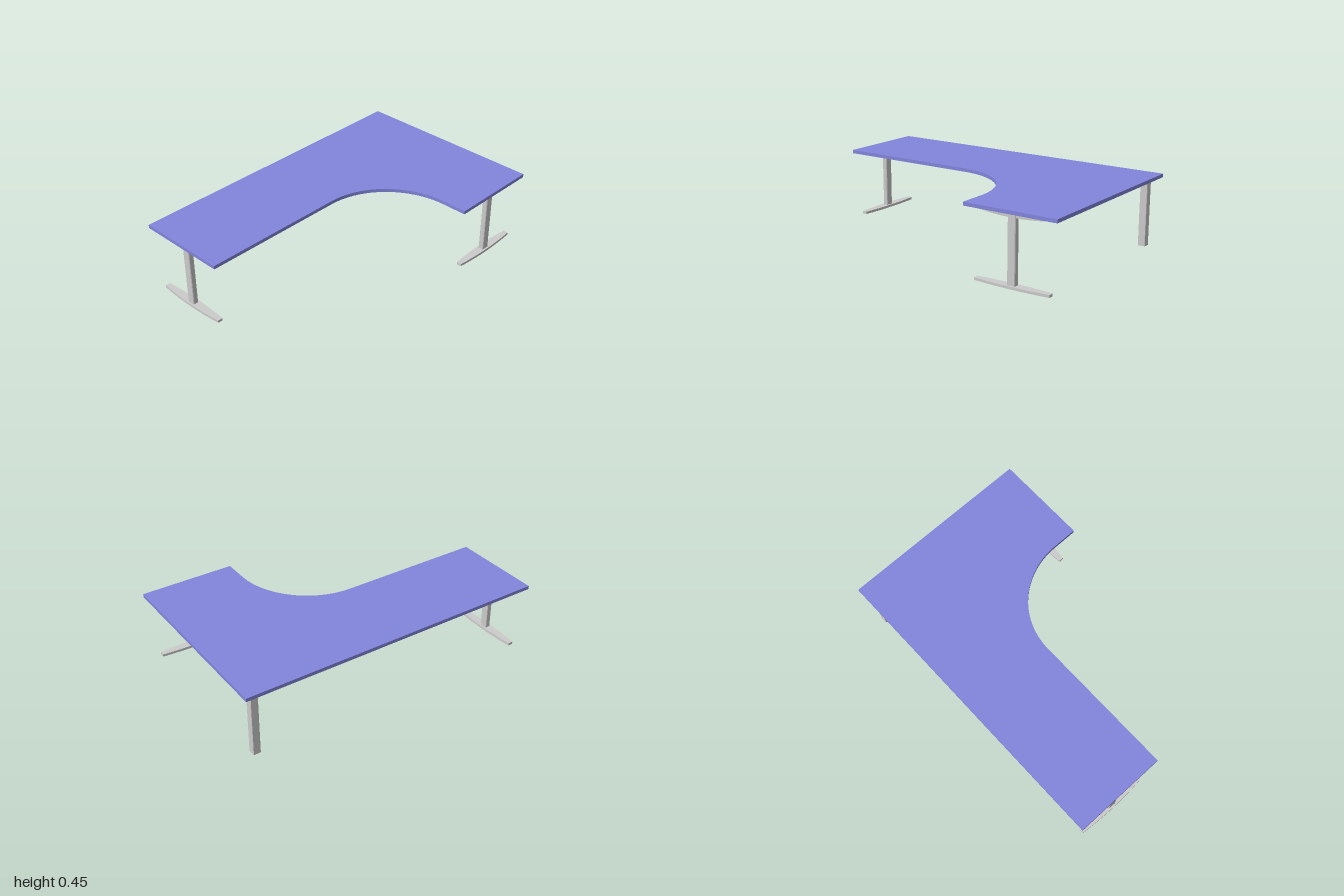
import * as THREE from 'three';

const TOP_Y = 0.45, THICK = 0.022, UNDER = TOP_Y - THICK;
const blue = new THREE.MeshStandardMaterial({ color: 0x8286dc });
const grey = new THREE.MeshStandardMaterial({ color: 0xcccccc });

function part(name, geometry, material = grey) {
  const mesh = new THREE.Mesh(geometry, material);
  mesh.name = name;
  return mesh;
}

// Extrudes a plan shape (drawn in x, -z) upwards from y0
function slab(shape, y0, height) {
  return new THREE.ExtrudeGeometry(shape, { depth: height, bevelEnabled: false, curveSegments: 32 })
    .rotateX(-Math.PI / 2).translate(0, y0, 0);
}

// Rectangular tube outline with slightly cut corners
function postShape(w, d, c = 0.004) {
  const x = w / 2, y = d / 2;
  return new THREE.Shape([
    [-x + c, -y], [x - c, -y], [x, -y + c], [x, y - c],
    [x - c, y], [-x + c, y], [-x, y - c], [-x, -y + c],
  ].map(([a, b]) => new THREE.Vector2(a, b)));
}

// T-shaped leg running along local x
function tLeg(name) {
  const leg = new THREE.Group();
  leg.name = name;
  const half = 0.246;

  // Foot: bowed long sides, narrow ends
  const foot = new THREE.Shape();
  foot.moveTo(-half, -0.016);
  foot.quadraticCurveTo(0, -0.042, half, -0.016);
  foot.lineTo(half, 0.016);
  foot.quadraticCurveTo(0, 0.042, -half, 0.016);
  foot.closePath();
  leg.add(part('foot', slab(foot, 0, 0.016)));

  leg.add(part('post', slab(postShape(0.052, 0.035), 0.014, UNDER - 0.014)));

  // Support arm: flat top, bowed underside
  const arm = new THREE.Shape();
  arm.moveTo(-half, UNDER);
  arm.lineTo(-half, UNDER - 0.008);
  arm.quadraticCurveTo(0, UNDER - 0.046, half, UNDER - 0.008);
  arm.lineTo(half, UNDER);
  arm.closePath();
  leg.add(part('supportArm', new THREE.ExtrudeGeometry(arm,
    { depth: 0.028, bevelEnabled: false, curveSegments: 24 }).translate(0, 0, -0.014)));
  return leg;
}

export function createModel() {
  const desk = new THREE.Group();
  desk.name = 'cornerDesk';

  // L-shaped top with a curved inner corner
  const top = new THREE.Shape();
  top.moveTo(-1, 0.623);
  top.lineTo(-1, 0.03);
  top.lineTo(-0.07, 0.03);
  top.absellipse(-0.07, -0.457, 0.47, 0.487, Math.PI / 2, 0, true);
  top.lineTo(0.4, -0.623);
  top.lineTo(1, -0.623);
  top.lineTo(1, 0.623);
  top.closePath();
  desk.add(part('deskTop', slab(top, UNDER, THICK), blue));

  const frontLeg = tLeg('frontLeg');
  frontLeg.position.set(0.698, 0, 0.575);
  const sideLeg = tLeg('sideLeg');
  sideLeg.position.set(-0.952, 0, -0.325);
  sideLeg.rotation.y = Math.PI / 2;
  desk.add(frontLeg, sideLeg);

  // Square leg in the back corner
  const corner = part('cornerLeg', slab(postShape(0.047, 0.047, 0.002), 0, UNDER));
  corner.position.set(0.923, 0, -0.548);
  desk.add(corner);
  return desk;
}
